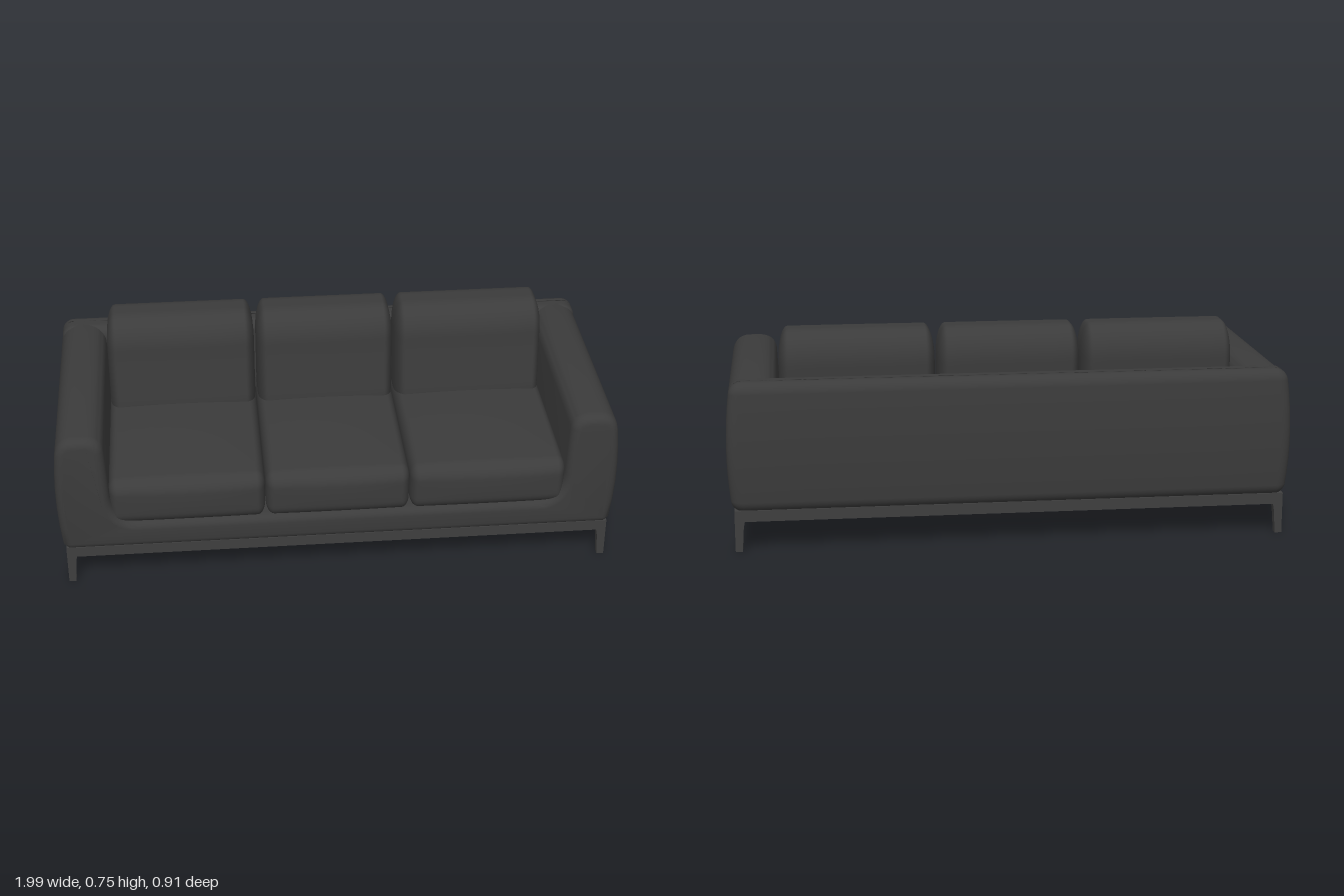
import * as THREE from 'three';
import { mergeVertices, toCreasedNormals } from 'three/addons/utils/BufferGeometryUtils.js';

const upholstery = new THREE.MeshStandardMaterial({ color: 0x3b3b3b });
upholstery.name = 'charcoal upholstery';
const frameMaterial = new THREE.MeshStandardMaterial({ color: 0x3f3f3f });
frameMaterial.name = 'dark frame';

// Gentle outward swelling of the body around mid height
const bulge = (y, amount) => -amount * ((y - 0.36) / 0.22) ** 2;

// Rounded box with separate corner radii per axis, then bent by deform(v, u), u in -1..1
function softBox(size, radii, centre, deform) {
  const corner = 5, middle = 8, n = corner * 2 + middle;
  const geo = new THREE.BoxGeometry(1, 1, 1, n, n, n);
  geo.deleteAttribute('uv');
  geo.deleteAttribute('normal');
  const pos = geo.attributes.position;
  const v = new THREE.Vector3(), core = new THREE.Vector3(), dir = new THREE.Vector3();
  for (let k = 0; k < pos.count; k++) {
    v.fromBufferAttribute(pos, k);
    for (let a = 0; a < 3; a++) {
      const i = Math.round((v.getComponent(a) + 0.5) * n) - n / 2;
      const over = Math.max(0, Math.abs(i) - middle / 2) / corner;
      const inner = size[a] / 2 - radii[a];
      core.setComponent(a, inner * THREE.MathUtils.clamp(i / (middle / 2), -1, 1));
      dir.setComponent(a, Math.sign(i) * Math.tan(over * Math.PI / 4));
    }
    dir.normalize();
    v.set(core.x + dir.x * radii[0], core.y + dir.y * radii[1], core.z + dir.z * radii[2]);
    const u = new THREE.Vector3(2 * v.x / size[0], 2 * v.y / size[1], 2 * v.z / size[2]);
    v.add(centre);
    deform(v, u);
    pos.setXYZ(k, v.x, v.y, v.z);
  }
  const merged = mergeVertices(geo, 1e-5);
  merged.computeVertexNormals();
  return merged;
}

// U-shaped front profile of the two arms and the seat base
function armsAndBaseGeometry() {
  const side = 0.997;
  const heights = [0.16, 0.24, 0.32, 0.4, 0.47];
  const shape = new THREE.Shape();
  shape.moveTo(-0.98, 0.14);
  shape.lineTo(0.98, 0.14);
  heights.forEach((y) => shape.lineTo(side, y));
  shape.lineTo(side, 0.53);
  shape.quadraticCurveTo(side, 0.6, 0.94, 0.602);
  shape.lineTo(0.9, 0.602);
  shape.quadraticCurveTo(0.84, 0.6, 0.828, 0.55);
  shape.lineTo(0.81, 0.36);
  shape.quadraticCurveTo(0.8, 0.25, 0.72, 0.25);
  shape.lineTo(-0.72, 0.25);
  shape.quadraticCurveTo(-0.8, 0.25, -0.81, 0.36);
  shape.lineTo(-0.828, 0.55);
  shape.quadraticCurveTo(-0.84, 0.6, -0.9, 0.602);
  shape.lineTo(-0.94, 0.602);
  shape.quadraticCurveTo(-side, 0.6, -side, 0.53);
  heights.reverse().forEach((y) => shape.lineTo(-side, y));

  const back = -0.41, front = 0.452, bevel = 0.035;
  const geo = new THREE.ExtrudeGeometry(shape, {
    depth: front - back - bevel * 2, curveSegments: 8, steps: 1,
    bevelThickness: bevel, bevelSize: 0.03, bevelOffset: -0.03, bevelSegments: 5,
  });
  geo.translate(0, 0, back + bevel);
  const pos = geo.attributes.position;
  for (let k = 0; k < pos.count; k++) {
    const x = pos.getX(k), y = pos.getY(k), z = pos.getZ(k);
    pos.setX(k, x * (1 + bulge(y, 0.015)));
    if (z > 0) pos.setZ(k, z + bulge(y, 0.009));
  }
  return toCreasedNormals(geo, 0.6);
}

// Tapered leg, straight on its two outer faces
function legGeometry(sx, sz) {
  const height = 0.115, hx = 0.018, hz = 0.019;
  const geo = new THREE.BoxGeometry(hx * 2, height, hz * 2, 1, 4, 1);
  const pos = geo.attributes.position;
  for (let k = 0; k < pos.count; k++) {
    const t = THREE.MathUtils.clamp(0.5 - pos.getY(k) / height, 0, 1);
    const taper = 1 - 0.3 * Math.sqrt(t);
    pos.setX(k, sx * (0.975 + (sx * pos.getX(k) - hx) * taper));
    pos.setZ(k, sz * (0.435 + (sz * pos.getZ(k) - hz) * taper));
  }
  geo.translate(0, height / 2, 0);
  geo.computeVertexNormals();
  return geo;
}

export function createModel() {
  const model = new THREE.Group();
  model.name = 'sofa';
  const add = (name, geometry, material) => {
    const mesh = new THREE.Mesh(geometry, material);
    mesh.name = name;
    model.add(mesh);
    return mesh;
  };

  // Body
  add('armsAndSeatBase', armsAndBaseGeometry(), upholstery);
  add('backrest', softBox([1.992, 0.462, 0.125], [0.04, 0.04, 0.035],
    new THREE.Vector3(0, 0.371, -0.3925), (v) => {
      v.x *= 1 + bulge(v.y, 0.015);
      if (v.z < -0.4) v.z -= bulge(v.y, 0.012);
    }), upholstery);

  // Three seat cushions and three back cushions
  const spans = [[-0.812, -0.262], [-0.26, 0.253], [0.255, 0.812]];
  const names = ['right', 'middle', 'left'];
  spans.forEach(([x0, x1], i) => {
    const cx = (x0 + x1) / 2, w = x1 - x0;
    add(names[i] + 'SeatCushion', softBox([w, 0.18, 0.77], [0.03, 0.05, 0.05],
      new THREE.Vector3(cx, 0.323, 0.055), (v, u) => {
        if (u.y > 0) v.y += 0.012 * (1 - u.x ** 2) * (1 - u.z ** 2) * u.y;
        if (u.z > 0) v.z += 0.008 * (1 - u.x ** 2) * (1 - u.y ** 2) * u.z;
      }), upholstery);
    add(names[i] + 'BackCushion', softBox([w - 0.006, 0.45, 0.235], [0.035, 0.12, 0.09],
      new THREE.Vector3(cx, 0.523, -0.207), (v, u) => {
        // the lower front swells forward over the seat
        const low = THREE.MathUtils.clamp((0.62 - v.y) / 0.2, 0, 1);
        if (u.z > 0) v.z += 0.028 * low * u.z + 0.006 * (1 - u.x ** 2) * u.z;
      }), upholstery);
  });

  // Plinth frame and legs
  const frame = add('baseFrame', new THREE.BoxGeometry(1.95, 0.04, 0.87), frameMaterial);
  frame.position.y = 0.128;
  for (const sx of [-1, 1]) for (const sz of [-1, 1]) {
    const name = (sz > 0 ? 'front' : 'back') + (sx > 0 ? 'Left' : 'Right') + 'Leg';
    add(name, legGeometry(sx, sz), frameMaterial);
  }
  return model;
}
